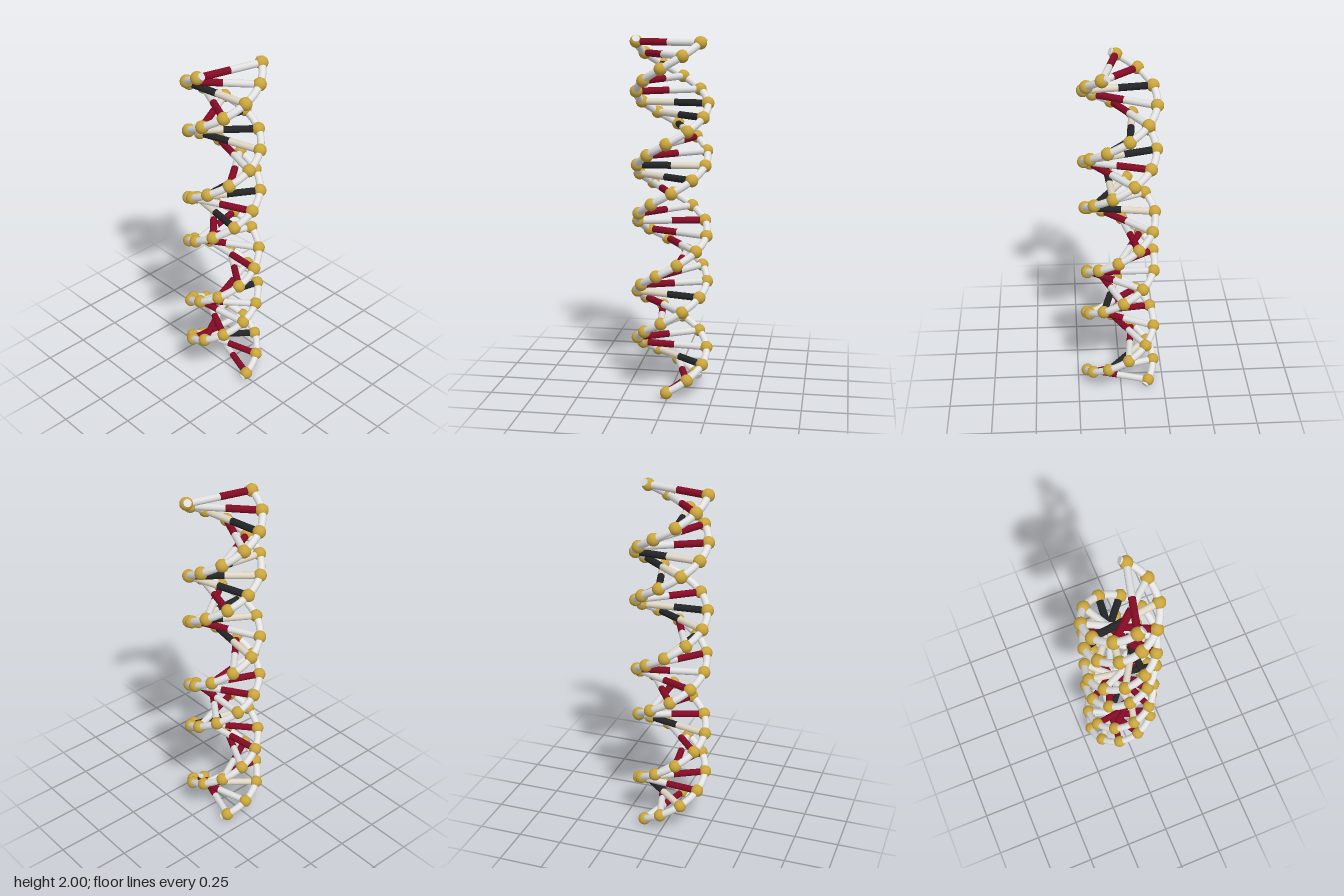
import * as THREE from 'three';

const R = 0.1956, BALL = 0.0352, STRAND = 0.0203, RUNG = 0.0192;
const COUNT = 30, TOP = 1.9645, RISE = 0.0665;
const STEP = THREE.MathUtils.degToRad(360 / 10.5);
// angle of each strand at the topmost rung
const PHASE = { A: THREE.MathUtils.degToRad(-58.9), B: THREE.MathUtils.degToRad(86.7) };
// half-rung colours on strand A from the top down; strand B takes the partner
const SEQUENCE = 'wwbrrbbkrwbkrkrwrrwwwkwwrrrbww';
const PARTNER = { r: 'w', w: 'r', k: 'b', b: 'k' };

function material(name, color) {
  const m = new THREE.MeshStandardMaterial({ color });
  m.name = name;
  return m;
}

// point on a strand, k counted in rungs from the top
function helixPoint(strand, k) {
  const a = PHASE[strand] + STEP * k;
  return new THREE.Vector3(R * Math.cos(a), TOP - RISE * k, R * Math.sin(a));
}

class Helix extends THREE.Curve {
  constructor(strand) {
    super();
    this.strand = strand;
  }
  getPoint(t, target = new THREE.Vector3()) {
    return target.copy(helixPoint(this.strand, -0.28 + t * (COUNT - 1 + 0.56)));
  }
}

function rod(from, to, mat) {
  const dir = to.clone().sub(from);
  const mesh = new THREE.Mesh(new THREE.CylinderGeometry(RUNG, RUNG, dir.length(), 20), mat);
  mesh.position.copy(from).add(to).multiplyScalar(0.5);
  mesh.quaternion.setFromUnitVectors(new THREE.Vector3(0, 1, 0), dir.normalize());
  return mesh;
}

export function createModel() {
  const model = new THREE.Group();
  model.name = 'doubleHelix';
  const gold = material('gold', 0xc9a53c);
  const white = material('strandWhite', 0xe2e2e2);
  const base = {
    r: material('crimson', 0x840a24),
    w: material('paleGrey', 0xdedede),
    k: material('charcoal', 0x222425),
    b: material('cream', 0xded5c3),
  };
  const ballGeometry = new THREE.SphereGeometry(BALL, 24, 16);

  for (const strand of ['A', 'B']) {
    const group = new THREE.Group();
    group.name = 'strand' + strand;
    const curve = new Helix(strand);

    // backbone tube with flat end caps
    const tube = new THREE.Mesh(new THREE.TubeGeometry(curve, 300, STRAND, 14), white);
    tube.name = 'backbone';
    group.add(tube);
    for (const t of [0, 1]) {
      const cap = new THREE.Mesh(new THREE.CircleGeometry(STRAND, 20), white);
      const out = curve.getTangent(t).multiplyScalar(t ? 1 : -1);
      cap.position.copy(curve.getPoint(t));
      cap.quaternion.setFromUnitVectors(new THREE.Vector3(0, 0, 1), out);
      cap.name = 'backboneEnd';
      group.add(cap);
    }

    // a ball where each rung meets the backbone
    for (let k = 0; k < COUNT; k++) {
      const ball = new THREE.Mesh(ballGeometry, gold);
      ball.position.copy(helixPoint(strand, k));
      ball.name = 'joint';
      group.add(ball);
    }
    model.add(group);
  }

  // two-coloured rungs
  const rungs = new THREE.Group();
  rungs.name = 'rungs';
  for (let k = 0; k < COUNT; k++) {
    const a = helixPoint('A', k), b = helixPoint('B', k);
    const middle = a.clone().lerp(b, 0.5);
    const halfA = rod(a, middle, base[SEQUENCE[k]]);
    const halfB = rod(middle, b, base[PARTNER[SEQUENCE[k]]]);
    halfA.name = 'rungHalfA';
    halfB.name = 'rungHalfB';
    rungs.add(halfA, halfB);
  }
  model.add(rungs);
  return model;
}
